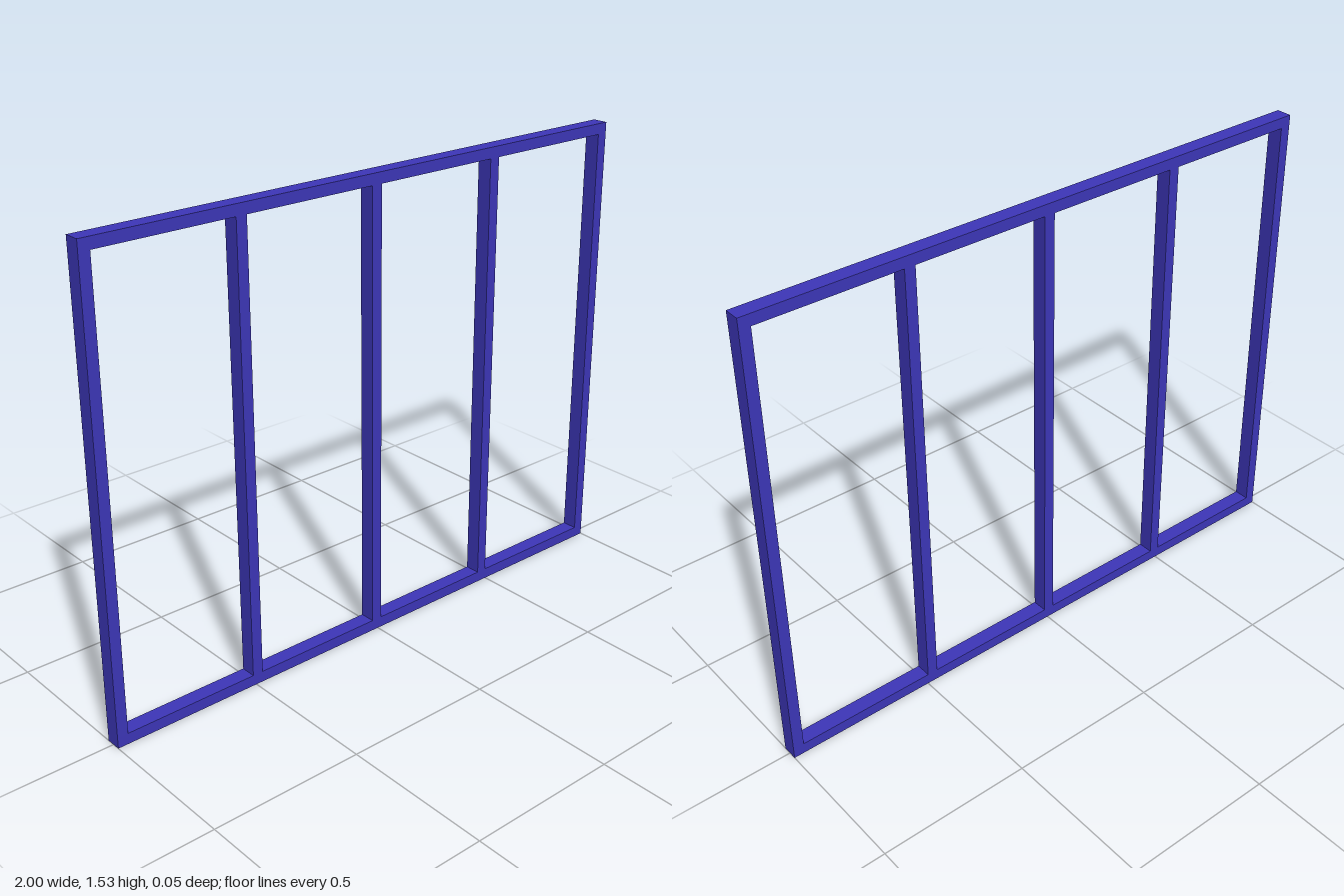
import * as THREE from 'three';

const WIDTH = 2, HEIGHT = 1.53, BAR = 0.036, DEPTH = 0.052;

export function createModel() {
  const group = new THREE.Group();
  group.name = 'windowFrame';
  const material = new THREE.MeshStandardMaterial({ color: 0x3d36b8 });

  const addBar = (name, w, h, x, y) => {
    const bar = new THREE.Mesh(new THREE.BoxGeometry(w, h, DEPTH), material);
    bar.name = name;
    bar.position.set(x, y, 0);
    group.add(bar);
  };

  // Horizontal rails across the full width
  addBar('bottomRail', WIDTH, BAR, 0, BAR / 2);
  addBar('topRail', WIDTH, BAR, 0, HEIGHT - BAR / 2);

  // Outer posts and inner mullions stand between the rails
  const innerHeight = HEIGHT - 2 * BAR;
  const edge = (WIDTH - BAR) / 2;
  const uprights = {
    rightPost: -edge,
    rightMullion: -0.493,
    centreMullion: -0.005,
    leftMullion: 0.48,
    leftPost: edge,
  };
  for (const [name, x] of Object.entries(uprights)) {
    addBar(name, BAR, innerHeight, x, HEIGHT / 2);
  }
  return group;
}
